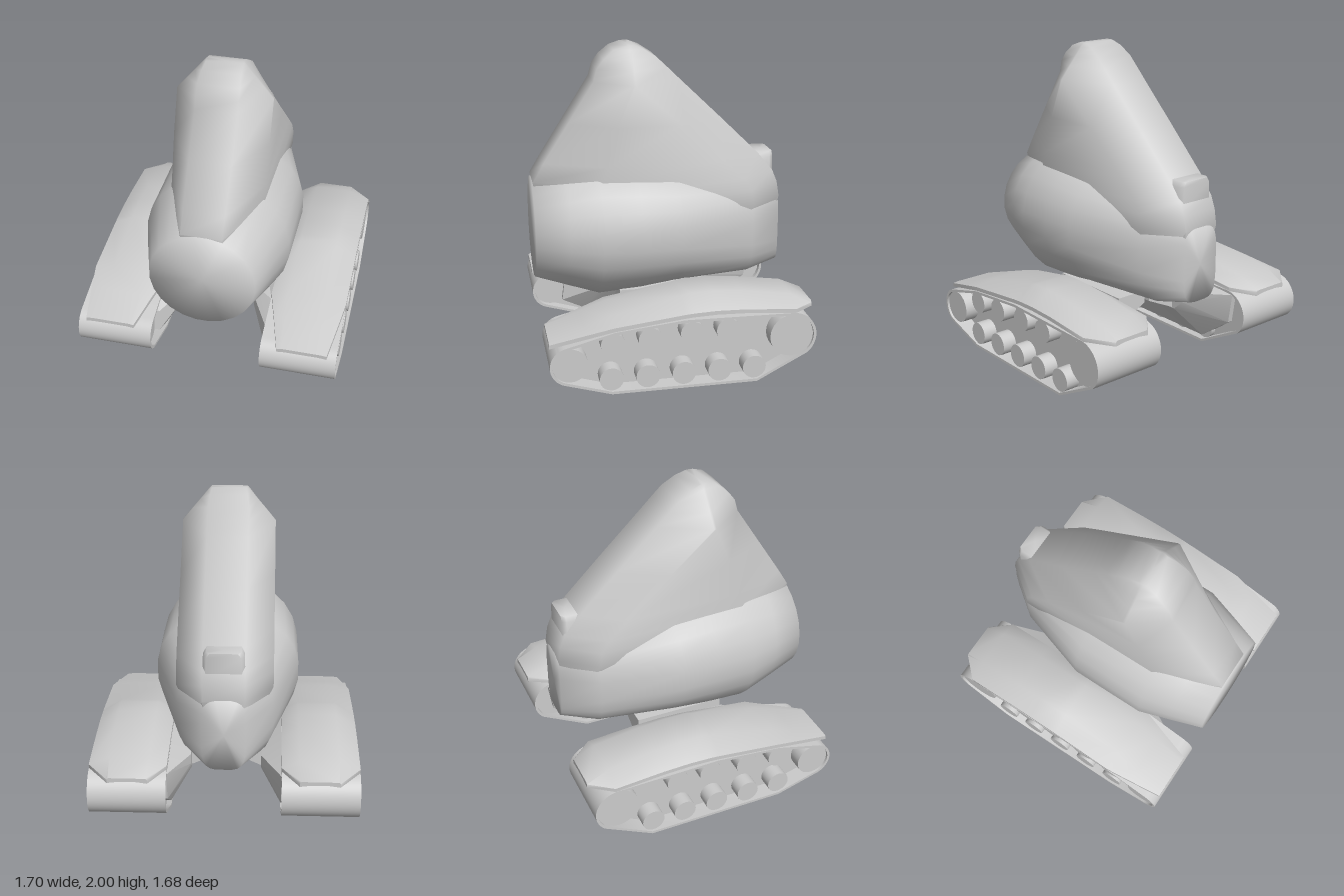
import * as THREE from 'three';
import { toCreasedNormals } from 'three/addons/utils/BufferGeometryUtils.js';

const material = new THREE.MeshStandardMaterial({ color: 0xcccccc });

function add(parent, name, geometry) {
  const mesh = new THREE.Mesh(geometry, material);
  mesh.name = name;
  parent.add(mesh);
  return mesh;
}

// Closed skin through equal-length rings of [x, y, z], wound to face outwards
function loft(rings, crease) {
  const n = rings[0].length, pts = rings.flat(), tris = [];
  rings.slice(1).forEach((_, r) => {
    for (let i = 0; i < n; i++) {
      const a = r * n + i, b = r * n + (i + 1) % n;
      tris.push([a, b, b + n], [a, b + n, a + n]);
    }
  });
  [0, rings.length - 1].forEach((r, end) => {
    const c = [0, 1, 2].map(k => rings[r].reduce((sum, p) => sum + p[k], 0) / n);
    pts.push(c);
    for (let i = 0; i < n; i++) {
      const a = r * n + i, b = r * n + (i + 1) % n;
      tris.push(end ? [a, b, pts.length - 1] : [b, a, pts.length - 1]);
    }
  });
  const v = pts.map(p => new THREE.Vector3(...p));
  const volume = tris.reduce((s, [a, b, c]) => s + v[a].dot(v[b].clone().cross(v[c])), 0);
  if (volume < 0) tris.forEach(t => t.reverse());
  const g = new THREE.BufferGeometry();
  g.setAttribute('position', new THREE.Float32BufferAttribute(pts.flat(), 3));
  g.setIndex(tris.flat());
  return toCreasedNormals(g, crease);
}

// Side profile (z, y) extruded across x from a to b on side s
function slab(shape, a, b, s) {
  const g = new THREE.ExtrudeGeometry(shape, { depth: b - a, bevelEnabled: false, curveSegments: 14 });
  g.rotateY(-Math.PI / 2).translate(s > 0 ? b : -a, 0, 0);
  return toCreasedNormals(g, 0.6);
}

// Track outline, shrunk inwards by t
function trackOutline(t, Type = THREE.Shape) {
  const p = new Type();
  p.moveTo(-0.46, t);
  p.lineTo(0.45, t);
  p.absarc(0.7, 0.205, 0.125 - t, -1.3, 1.35, false);
  p.lineTo(0.43, 0.405 - t);
  p.lineTo(0, 0.45 - t);
  p.absarc(-0.68, 0.285, 0.155 - t, 1.6, 4.0, false);
  p.closePath();
  return p;
}

function createBody() {
  const body = new THREE.Group();
  body.name = 'body';

  // Tall fin: y, front z, front shoulder z, rear shoulder z, rear z, half width, half ridge
  const levels = [
    [0.52, 0.6, 0.43, -0.45, -0.72, 0.15, 0.06],
    [0.97, 0.8, 0.43, -0.57, -0.79, 0.3, 0.13],
    [1.07, 0.82, 0.43, -0.56, -0.773, 0.3, 0.13],
    [1.15, 0.835, 0.42, -0.51, -0.74, 0.3, 0.13],
    [1.27, 0.763, 0.38, -0.38, -0.64, 0.3, 0.13],
    [1.52, 0.603, 0.31, -0.098, -0.385, 0.3, 0.13],
    [1.78, 0.437, 0.21, 0.195, -0.115, 0.3, 0.13],
    [1.86, 0.415, 0.21, 0.195, -0.033, 0.235, 0.13],
    [1.92, 0.37, 0.21, 0.195, 0.03, 0.185, 0.13],
    [1.975, 0.305, 0.21, 0.195, 0.115, 0.14, 0.12],
    [2.0, 0.235, 0.21, 0.195, 0.18, 0.115, 0.11],
  ];
  add(body, 'fin', loft(levels.map(([y, zf, sf, sb, zb, w, f]) => [
    [f, y, zf], [w, y, sf], [w, y, sb], [f, y, zb],
    [-f, y, zb], [-w, y, sb], [-w, y, sf], [-f, y, zf],
  ]), 1.25));

  // Round hull, squarer to the rear: z, centre y, half width, half height, roundness
  const rings = [
    [0.84, 0.82, 0.335, 0.33, 1],
    [0.63, 0.82, 0.405, 0.4, 1],
    [0.43, 0.82, 0.468, 0.465, 1],
    [0.18, 0.82, 0.468, 0.44, 0.95],
    [-0.07, 0.825, 0.468, 0.4, 0.88],
    [-0.57, 0.77, 0.302, 0.32, 0.7],
    [-0.79, 0.74, 0.135, 0.24, 0.5],
  ];
  const power = (v, p) => Math.sign(v) * Math.abs(v) ** p;
  add(body, 'hull', loft(rings.map(([z, cy, w, h, p]) =>
    Array.from({ length: 24 }, (_, i) => {
      const a = (i + 0.5) / 24 * Math.PI * 2;
      return [w * power(Math.cos(a), p), cy + h * power(Math.sin(a), p), z];
    })), 1.5));

  // Small rounded block at the foot of the rear slope
  add(body, 'rearBlock', loft([[1.1, 0.13], [1.24, 0.125], [1.27, 0.105]].map(([y, w]) =>
    [[w, y, -0.6], [w, y, -0.72], [w - 0.02, y, -0.745],
      [0.02 - w, y, -0.745], [-w, y, -0.72], [-w, y, -0.6]]), 1.4));
  return body;
}

function createTrack(s) {
  const track = new THREE.Group();
  track.name = s > 0 ? 'leftTrack' : 'rightTrack';

  // Belt and the recessed frame inside it
  const belt = trackOutline(0);
  belt.holes.push(trackOutline(0.017, THREE.Path));
  add(track, 'belt', slab(belt, 0.36, 0.85, s));
  add(track, 'frame', slab(trackOutline(0.015), 0.43, 0.74, s));

  // Wheels: z, y, radius
  const wheels = [
    [0.7, 0.205, 0.108], [-0.68, 0.285, 0.138],
    [0.44, 0.32, 0.074], [0.21, 0.335, 0.074], [-0.05, 0.355, 0.074], [-0.275, 0.355, 0.074],
    ...[0.45, 0.225, 0, -0.225, -0.445].map(z => [z, 0.092, 0.074]),
  ];
  wheels.forEach(([z, y, r]) => {
    const wheel = add(track, 'wheel', new THREE.CylinderGeometry(r, r, 0.44, 24));
    wheel.rotation.z = Math.PI / 2;
    wheel.position.set(s * 0.615, y, z);
  });

  // Chamfered cover: z, inner edge, inner flat, outer flat, outer edge, edge y, flat y
  const stations = [
    [0.82, 0.47, 0.5, 0.75, 0.79, 0.33, 0.335],
    [0.6, 0.41, 0.48, 0.74, 0.825, 0.39, 0.405],
    [0.43, 0.36, 0.47, 0.72, 0.85, 0.435, 0.46],
    [0, 0.36, 0.47, 0.72, 0.85, 0.485, 0.555],
    [-0.06, 0.36, 0.47, 0.72, 0.85, 0.49, 0.57],
    [-0.2, 0.36, 0.47, 0.72, 0.85, 0.495, 0.572],
    [-0.38, 0.36, 0.47, 0.72, 0.85, 0.49, 0.56],
    [-0.7, 0.36, 0.47, 0.72, 0.85, 0.465, 0.515],
    [-0.84, 0.47, 0.48, 0.71, 0.72, 0.445, 0.455],
  ];
  const t = 0.025;
  add(track, 'cover', loft(stations.map(([z, a, b, c, d, e, f]) => [
    [s * a, e, z], [s * b, f, z], [s * c, f, z], [s * d, e, z],
    [s * d, e - t, z], [s * c, f - t, z], [s * b, f - t, z], [s * a, e - t, z],
  ]), 0.8));

  // Inner fairing: the track's side profile (z, y) tapering towards the body
  const base = [[-0.73, 0.42], [-0.7, 0.22], [-0.46, 0.05], [0.45, 0.05],
    [0.62, 0.13], [0.6, 0.28], [0.43, 0.385], [0, 0.465]];
  const tip = [[-0.4, 0.37], [-0.4, 0.3], [-0.32, 0.23], [0.3, 0.23],
    [0.37, 0.26], [0.36, 0.32], [0.3, 0.36], [0, 0.37]];
  const ring = (x, profile) => profile.map(([z, y]) => [s * x, y, z]);
  add(track, 'fairing', loft([ring(0.44, base), ring(0.36, base), ring(0.23, tip)], 0.3));

  // Strut reaching under the body
  const box = (x, y0, y1) =>
    ring(x, [[-0.3, y0], [-0.3, y1], [0.3, y1], [0.3, y0]]);
  add(track, 'strut', loft([box(0.24, 0.23, 0.42), box(0.02, 0.335, 0.42)], 0.3));
  return track;
}

export function createModel() {
  const model = new THREE.Group();
  model.name = 'trackedVehicle';
  model.add(createBody(), createTrack(1), createTrack(-1));
  return model;
}
